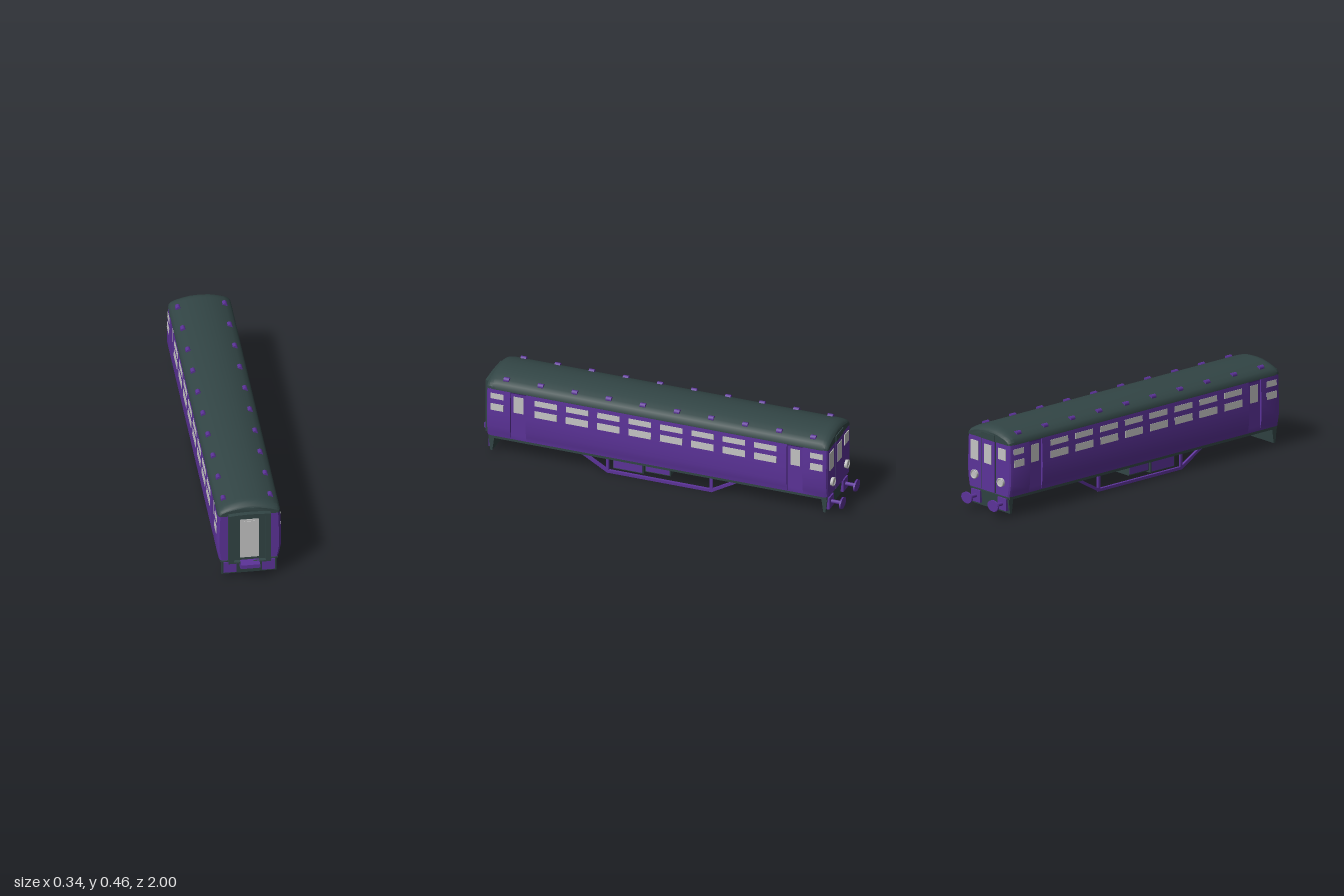
import * as THREE from 'three';
import { toCreasedNormals } from 'three/addons/utils/BufferGeometryUtils.js';

const mat = (name, color) => {
  const m = new THREE.MeshStandardMaterial({ color });
  m.name = name;
  return m;
};

// Loft through sections [z, right-half outline from bottom to top], mirrored in x and capped.
function loft(sections) {
  const rings = sections.map(([z, half]) => {
    const left = half.filter(p => p[0] > 0).reverse().map(([x, y]) => [-x, y]);
    return [...half, ...left].map(([x, y]) => [x, y, z]);
  });
  const n = rings[0].length, index = [];
  for (let i = 0; i < rings.length - 1; i++) {
    for (let j = 0; j < n; j++) {
      const k = (j + 1) % n, a = i * n + j, b = i * n + k;
      index.push(a, b, b + n, a, b + n, a + n);
    }
  }
  const last = (rings.length - 1) * n;
  for (let j = 1; j < n - 1; j++) {
    index.push(last, last + j, last + j + 1, 0, j + 1, j);
  }
  const g = new THREE.BufferGeometry();
  g.setAttribute('position', new THREE.Float32BufferAttribute(rings.flat(2), 3));
  g.setIndex(index);
  return toCreasedNormals(g, 0.5);
}

export function createModel() {
  const purple = mat('purple paint', 0x5c3399);
  const dark = mat('dark slate', 0x324545);
  const grey = mat('pale grey', 0xc4c4c4);
  const model = new THREE.Group();
  model.name = 'railwayCarriage';

  const add = (name, geometry, material, x = 0, y = 0, z = 0) => {
    const m = new THREE.Mesh(geometry, material);
    m.name = name;
    m.position.set(x, y, z);
    model.add(m);
    return m;
  };
  // Box given by its limits on each axis
  const box = (name, material, x0, x1, y0, y1, z0, z1) =>
    add(name, new THREE.BoxGeometry(x1 - x0, y1 - y0, z1 - z0), material,
      (x0 + x1) / 2, (y0 + y1) / 2, (z0 + z1) / 2);

  // Body shell: curved sides, rounded corners and recessed doorways
  const full = [[0.155, 0.108], [0.161, 0.135], [0.167, 0.168], [0.168, 0.25], [0.163, 0.378], [0.162, 0.388]];
  const doorway = [[0.155, 0.108], [0.155, 0.135], [0.155, 0.168], [0.155, 0.25], [0.155, 0.376], [0.162, 0.388]];
  const narrow = s => full.map(([x, y]) => [x * s, y]);
  add('body', loft([
    [-0.936, narrow(0.92)], [-0.93, narrow(0.97)], [-0.915, full],
    [-0.8, full], [-0.8, doorway], [-0.713, doorway], [-0.713, full],
    [0.724, full], [0.724, doorway], [0.81, doorway], [0.81, full],
    [0.92, full], [0.935, narrow(0.97)], [0.942, narrow(0.92)],
  ]), purple);

  // Domed roof, lower and narrower at its ends
  const roofHalf = [[0.163, 0.385], [0.161, 0.4], [0.15, 0.416], [0.125, 0.43], [0.09, 0.443], [0.05, 0.453], [0, 0.456]];
  const roofAt = (w, h) => roofHalf.map(([x, y]) => [x * w, 0.385 + (y - 0.385) * h]);
  const ends = [[0, 0.92, 0.62], [0.005, 0.96, 0.75], [0.017, 0.99, 0.88], [0.035, 1, 0.97], [0.055, 1, 1]];
  add('roof', loft([
    ...ends.map(([d, w, h]) => [-0.938 + d, roofAt(w, h)]),
    ...ends.map(([d, w, h]) => [0.944 - d, roofAt(w, h)]).reverse(),
  ]), dark);

  // Roof ventilators
  const ventGeo = new THREE.CylinderGeometry(0.014, 0.014, 0.03, 8).rotateX(Math.PI / 2);
  for (const s of [-1, 1]) {
    for (let i = 0; i < 10; i++) add('roofVent', ventGeo, purple, s * 0.121, 0.43, -0.845 + i * 0.1878);
  }

  // Side windows, leaning with the body side
  const sideWindow = (s, z, width, y0, y1) => {
    const y = (y0 + y1) / 2;
    const x = 0.168 - 0.039 * (y - 0.25);
    const w = add('sideWindow', new THREE.BoxGeometry(0.004, y1 - y0, width), grey, s * x, y, z);
    w.rotation.z = s * 0.039;
  };
  const bays = [[0.882, 0.07], [-0.877, 0.07]];
  for (let i = 0; i < 8; i++) bays.push([0.614 - i * 0.1728, 0.123]);
  for (const s of [-1, 1]) {
    for (const [z, width] of bays) {
      sideWindow(s, z, width, 0.332, 0.363);
      sideWindow(s, z, width, 0.266, 0.304);
    }
    for (const z of [0.767, -0.757]) {
      add('doorWindow', new THREE.BoxGeometry(0.004, 0.094, 0.054), grey, s * 0.155, 0.313, z);
    }
  }

  // Front gangway: arched frame around a recessed door
  const frame = new THREE.Shape();
  frame.moveTo(-0.11, 0.1);
  frame.lineTo(0.11, 0.1);
  frame.lineTo(0.11, 0.399);
  frame.quadraticCurveTo(0, 0.411, -0.11, 0.399);
  frame.holes.push(new THREE.Path([[-0.083, 0.108], [-0.083, 0.386], [0.083, 0.386], [0.083, 0.108]]
    .map(([x, y]) => new THREE.Vector2(x, y))));
  add('gangwayFrame', new THREE.ExtrudeGeometry(frame, { depth: 0.03, bevelEnabled: false, curveSegments: 8 }),
    dark, 0, 0, 0.938);
  box('gangwayRecess', dark, -0.084, 0.084, 0.106, 0.387, 0.938, 0.948);
  box('gangwayDoor', grey, -0.049, 0.049, 0.125, 0.362, 0.944, 0.952);
  box('gangwayDoorWindow', grey, -0.03, 0.028, 0.258, 0.352, 0.95, 0.955);

  // Front step wedge
  const wedge = new THREE.Shape([[-0.93, 0.057], [-0.955, 0.06], [-1, 0.086], [-1, 0.108], [-0.93, 0.108]]
    .map(([z, y]) => new THREE.Vector2(z, y)));
  add('frontStep', new THREE.ExtrudeGeometry(wedge, { depth: 0.098, bevelEnabled: false })
    .rotateY(Math.PI / 2), purple, -0.049);

  // Rear end: door, windows of unequal height, sign box and lamps
  for (const s of [-1, 1]) box('rearDoorEdge', dark, s * 0.053 - 0.0015, s * 0.053 + 0.0015, 0.11, 0.39, -0.938, -0.93);
  box('rearDoor', purple, -0.05, 0.05, 0.11, 0.386, -0.94, -0.932);
  box('rearSignBox', dark, -0.052, 0.052, 0.386, 0.42, -0.943, -0.9);
  box('rearDoorWindow', grey, -0.027, 0.027, 0.257, 0.36, -0.943, -0.937);
  box('rearTallWindow', grey, 0.077, 0.133, 0.257, 0.36, -0.94, -0.934);
  box('rearShortWindow', grey, -0.133, -0.077, 0.3, 0.36, -0.94, -0.934);
  const lampGeo = new THREE.CylinderGeometry(0.023, 0.023, 0.014, 16).rotateX(Math.PI / 2);
  const ringGeo = new THREE.TorusGeometry(0.021, 0.004, 6, 16);
  for (const s of [-1, 1]) {
    add('rearLamp', lampGeo, grey, s * 0.1, 0.18, -0.941);
    add('rearLampRing', ringGeo, grey, s * 0.1, 0.18, -0.948);
  }

  // Underframe and tapered end plates
  box('underframe', dark, -0.15, 0.15, 0.092, 0.109, -0.925, 0.932);
  const plate = new THREE.Shape([[-0.018, 0.1], [-0.006, 0.015], [0.006, 0.015], [0.016, 0.1]]
    .map(([z, y]) => new THREE.Vector2(z, y)));
  const plateGeo = new THREE.ExtrudeGeometry(plate, { depth: 0.286, bevelEnabled: false })
    .rotateY(-Math.PI / 2).translate(0.143, 0, 0);
  add('frontEndPlate', plateGeo, dark, 0, 0, 0.923);
  add('rearEndPlate', plateGeo, dark, 0, 0, -0.912).rotation.y = Math.PI;

  // Bumper mounts at both ends, sprung bumpers at the rear
  const rodGeo = new THREE.CylinderGeometry(0.01, 0.01, 0.07, 10).rotateX(Math.PI / 2);
  const headGeo = new THREE.CylinderGeometry(0.04, 0.04, 0.009, 16).rotateX(Math.PI / 2).scale(1, 0.75, 1);
  for (const s of [-1, 1]) {
    const x = s * 0.1;
    box('frontBumperMount', purple, x - 0.033, x + 0.033, 0.03, 0.095, 0.925, 0.942);
    box('rearBumperMount', purple, x - 0.033, x + 0.033, 0.03, 0.095, -0.936, -0.915);
    add('bumperRod', rodGeo, purple, x, 0.064, -0.96);
    add('bumperHead', headGeo, purple, x, 0.064, -0.9955);
  }

  // Truss rods with posts
  const bar = (y0, z0, y1, z1, x) => {
    const m = add('trussBar', new THREE.BoxGeometry(0.015, 0.015, Math.hypot(y1 - y0, z1 - z0) + 0.006), purple,
      x, (y0 + y1) / 2, (z0 + z1) / 2);
    m.rotation.x = -Math.atan2(y1 - y0, z1 - z0);
  };
  for (const x of [-0.121, 0.121]) {
    bar(0.092, -0.43, 0.0085, -0.285, x);
    bar(0.0075, -0.285, 0.0075, 0.29, x);
    bar(0.0085, 0.29, 0.092, 0.435, x);
    for (const z of [-0.282, 0.29]) box('trussPost', purple, x - 0.007, x + 0.007, 0.008, 0.095, z - 0.007, z + 0.007);
  }

  // Equipment boxes with painted side panels
  for (const [z0, z1, y0] of [[0.103, 0.272, 0.013], [-0.047, 0.094, 0.028]]) {
    box('equipmentBox', dark, -0.095, 0.095, y0, 0.094, z0, z1);
    for (const s of [-1, 1]) {
      box('equipmentPanel', purple, s * 0.096 - 0.002, s * 0.096 + 0.002, y0 + 0.006, 0.088, z0 + 0.006, z1 - 0.006);
    }
  }
  return model;
}
